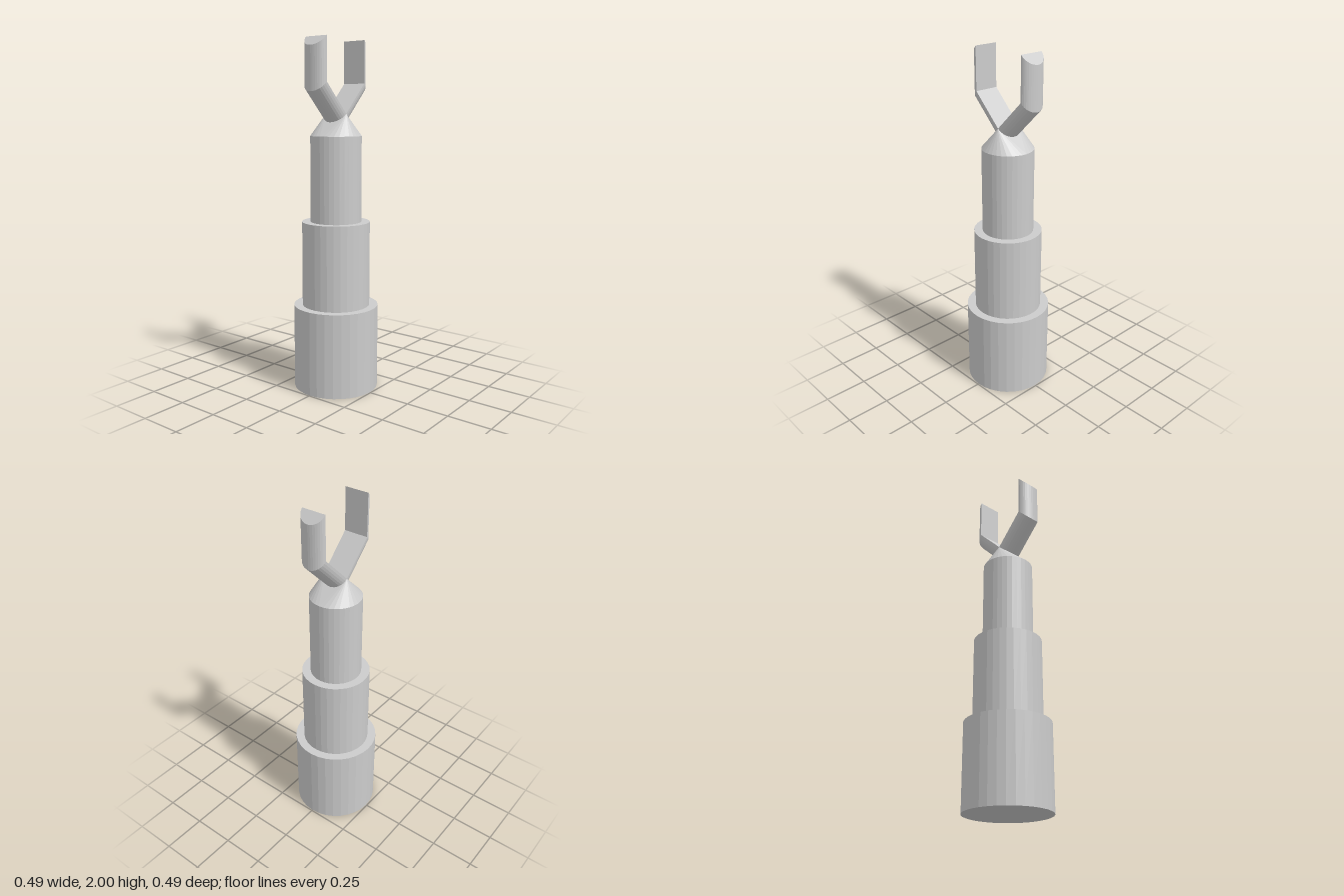
import * as THREE from 'three';
import { ConvexGeometry } from 'three/addons/geometries/ConvexGeometry.js';

const material = new THREE.MeshStandardMaterial({ color: 0xcccccc, flatShading: true });
const SIDES = 32;

function addMesh(parent, name, geometry) {
  const mesh = new THREE.Mesh(geometry, material);
  mesh.name = name;
  parent.add(mesh);
  return mesh;
}

// Half-round bar: one slanted half-disc section carried along a bent path
function prongGeometry(path, radius, segments) {
  const n = segments + 1;
  const positions = [];
  const index = [];
  for (const [px, py] of path) {
    for (let j = 0; j < n; j++) {
      const a = (j / segments) * Math.PI;
      const out = radius * Math.sin(a) * Math.SQRT1_2;
      positions.push(px + out, py - out, radius * Math.cos(a));
    }
  }
  const last = path.length - 1;
  for (let i = 0; i < last; i++) {
    for (let j = 0; j < n; j++) {
      const k = (j + 1) % n;
      const a = i * n + j, b = i * n + k;
      index.push(a, b, b + n, a, b + n, a + n);
    }
  }
  // End caps
  for (let j = 1; j < n - 1; j++) {
    index.push(0, j + 1, j);
    index.push(last * n, last * n + j, last * n + j + 1);
  }
  const geometry = new THREE.BufferGeometry();
  geometry.setAttribute('position', new THREE.Float32BufferAttribute(positions, 3));
  geometry.setIndex(index);
  const flat = geometry.toNonIndexed();
  flat.computeVertexNormals();
  return flat;
}

export function createModel() {
  const model = new THREE.Group();
  model.name = 'forkedTelescopicPost';

  // Three stacked stages, each narrower than the one below
  const stageHeight = 0.488;
  const stages = [['lowerStage', 0.244], ['middleStage', 0.195], ['upperStage', 0.146]];
  stages.forEach(([name, radius], i) => {
    const stage = addMesh(model, name, new THREE.CylinderGeometry(radius, radius, stageHeight, SIDES));
    stage.position.y = (i + 0.5) * stageHeight;
  });

  // Neck: round at the base, pinched to a ridge running front to back
  const neckBase = 3 * stageHeight;
  const ridgeY = 1.587;
  const prongRadius = 0.072;
  const neckPoints = [
    new THREE.Vector3(0, ridgeY, prongRadius),
    new THREE.Vector3(0, ridgeY, -prongRadius),
  ];
  for (let i = 0; i < SIDES; i++) {
    const a = (i / SIDES) * Math.PI * 2;
    neckPoints.push(new THREE.Vector3(0.146 * Math.sin(a), neckBase, 0.146 * Math.cos(a)));
  }
  addMesh(model, 'neck', new ConvexGeometry(neckPoints));

  // Two prongs, the second turned half a revolution
  const path = [[0, ridgeY], [0.172, 1.758], [0.172, 2]];
  const prong = prongGeometry(path, prongRadius, 16);
  addMesh(model, 'leftProng', prong);
  addMesh(model, 'rightProng', prong).rotation.y = Math.PI;

  return model;
}
